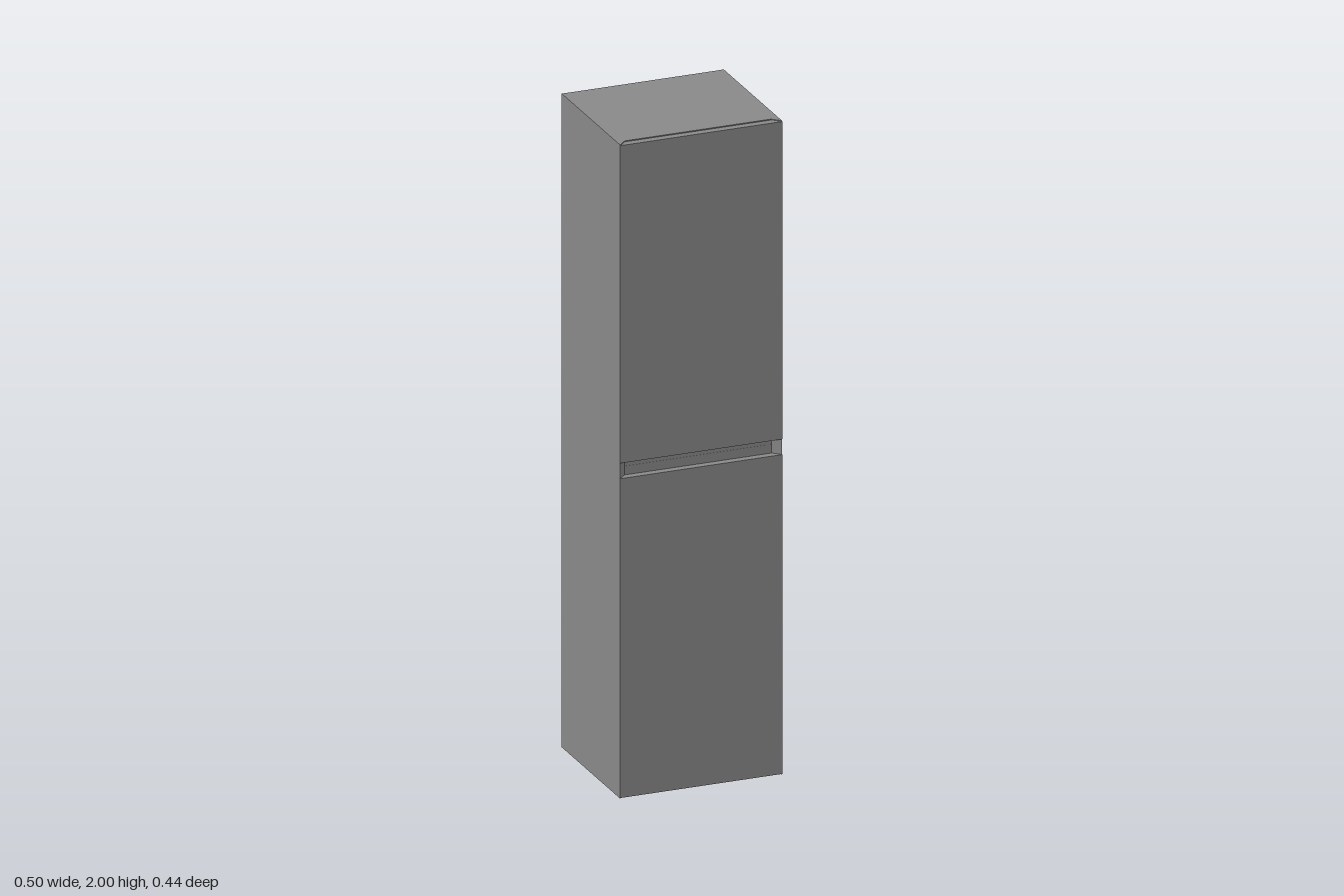
import * as THREE from 'three';

const material = new THREE.MeshStandardMaterial({ color: 0x888888 });

export function createModel() {
  const group = new THREE.Group();

  const add = (name, geometry, x = 0, y = 0, z = 0) => {
    const mesh = new THREE.Mesh(geometry, material);
    mesh.name = name;
    mesh.position.set(x, y, z);
    group.add(mesh);
    return mesh;
  };

  // Box given by its lower and upper limits
  const block = (name, x0, x1, y0, y1, z0, z1) =>
    add(name, new THREE.BoxGeometry(x1 - x0, y1 - y0, z1 - z0),
      (x0 + x1) / 2, (y0 + y1) / 2, (z0 + z1) / 2);

  // Upright prism from a floor-plan outline of [x, z] points
  const prism = (name, outline, y0, y1) => {
    const shape = new THREE.Shape(outline.map(([x, z]) => new THREE.Vector2(x, -z)));
    const geometry = new THREE.ExtrudeGeometry(shape, { depth: y1 - y0, bevelEnabled: false });
    geometry.rotateX(-Math.PI / 2);
    return add(name, geometry, 0, y0, 0);
  };

  const inner = 0.227, back = -0.22, carcassFront = 0.193;

  // Side panels with mitred front edges
  for (const [side, s] of [['left', 1], ['right', -1]]) {
    prism(side + 'SidePanel', [
      [s * 0.25, back], [s * 0.25, 0.2175], [s * inner, 0.1945], [s * inner, back],
    ], 0, 2);
  }

  // Top, bottom and middle boards
  block('topPanel', -inner, inner, 1.977, 2, back + 0.0005, carcassFront);
  block('bottomPanel', -inner, inner, 0, 0.023, back + 0.0005, carcassFront);
  block('middleShelf', -inner, inner, 0.982, 1.005, back + 0.0005, carcassFront);
  block('gripRail', -inner, inner, 0.97, 1.035, 0.17, carcassFront - 0.0005);

  // Mitred doors, leaving a grip gap between them
  for (const [name, y0, y1] of [['lowerDoor', 0.002, 0.979], ['upperDoor', 1.026, 1.998]]) {
    prism(name, [
      [-0.25, 0.2185], [0.25, 0.2185], [inner, 0.1955], [-inner, 0.1955],
    ], y0, y1);
  }

  // Recessed back panels
  block('lowerBackPanel', -inner, inner, 0.023, 0.982, -0.202, -0.195);
  block('upperBackPanel', -inner, inner, 1.005, 1.977, -0.202, -0.195);

  // Oval wall hangers on the side panels, in the four rear corners
  for (const s of [-1, 1]) {
    for (const y of [0.05, 1.95]) {
      const hanger = add('wallHanger', new THREE.CylinderGeometry(0.02, 0.02, 0.016, 20), s * 0.219, y, -0.211);
      hanger.rotation.z = Math.PI / 2;
      hanger.scale.z = 0.42;
    }
  }

  return group;
}
